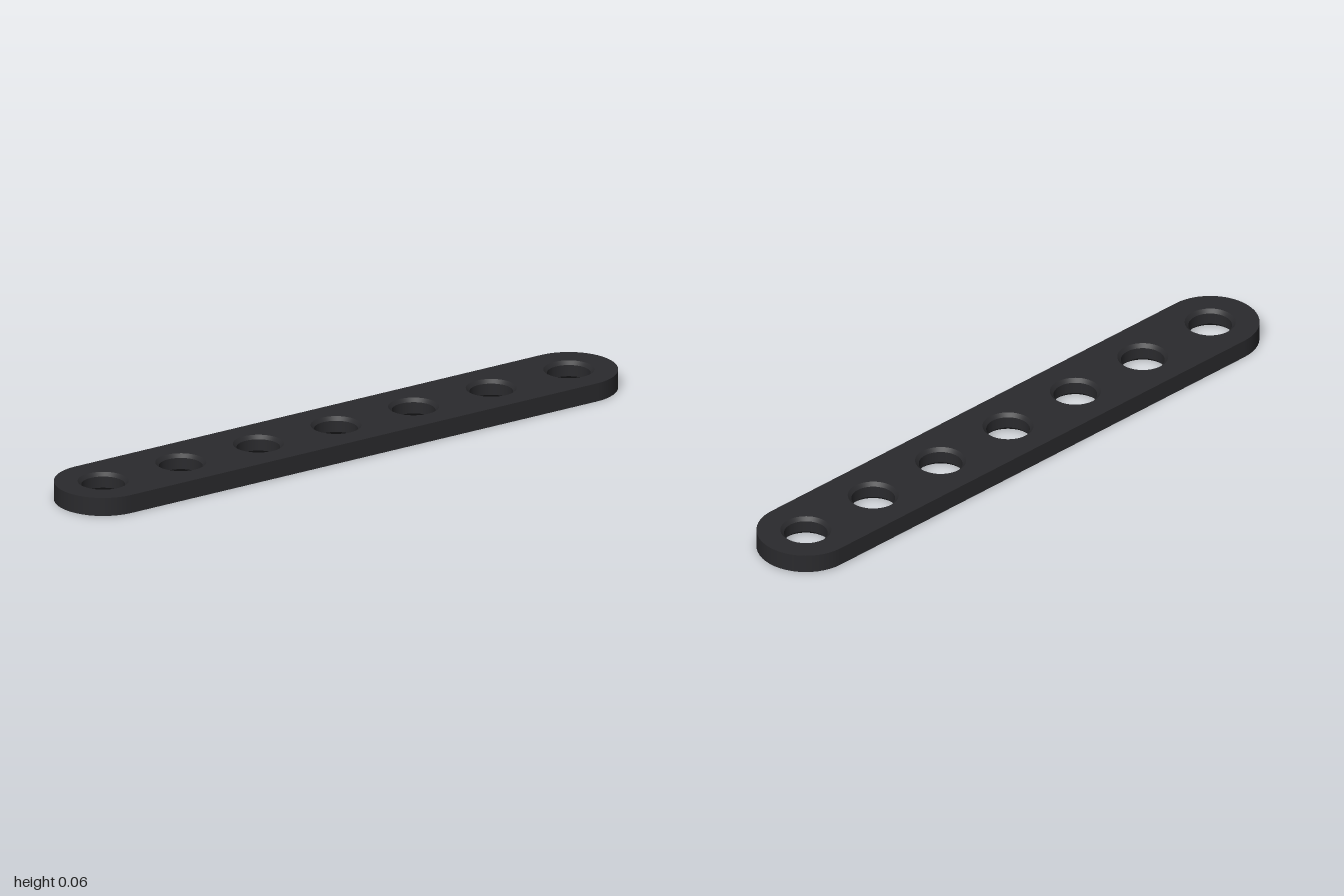
import * as THREE from 'three';

const HEIGHT = 0.058;
const RADIUS = 0.149;          // half width and end rounding
const END = 1 - RADIUS;        // centre of the end holes
const HOLES = 7;
const BORE = 0.066;            // narrow part of a hole
const MOUTH = 0.077;           // widened hole edge
const LIP = 0.011;             // depth of the widened edge
const SEGMENTS = 48;

// Flat stadium outline pierced by the row of holes
function plateShape(centres) {
  const shape = new THREE.Shape();
  shape.absarc(END, 0, RADIUS, -Math.PI / 2, Math.PI / 2, false);
  shape.absarc(-END, 0, RADIUS, Math.PI / 2, Math.PI * 1.5, false);
  shape.closePath();
  for (const x of centres) {
    const hole = new THREE.Path();
    hole.absarc(x, 0, MOUTH, 0, Math.PI * 2, true);
    shape.holes.push(hole);
  }
  return shape;
}

// Outer wall with smooth normals around both rounded ends
function rimGeometry() {
  const pos = [], norm = [], index = [];
  const half = SEGMENTS / 2;
  for (const side of [1, -1]) {
    for (let i = 0; i <= half; i++) {
      const a = -Math.PI / 2 + (Math.PI * i) / half;
      const nx = side * Math.cos(a), nz = -side * Math.sin(a);
      for (const y of [0, HEIGHT]) {
        pos.push(side * END + RADIUS * nx, y, RADIUS * nz);
        norm.push(nx, 0, nz);
      }
    }
  }
  const count = pos.length / 6;
  for (let i = 0; i < count; i++) {
    const a = i * 2, b = ((i + 1) % count) * 2;
    index.push(a, b, b + 1, a, b + 1, a + 1);
  }
  const geo = new THREE.BufferGeometry();
  geo.setAttribute('position', new THREE.Float32BufferAttribute(pos, 3));
  geo.setAttribute('normal', new THREE.Float32BufferAttribute(norm, 3));
  geo.setIndex(index);
  return geo;
}

export function createModel() {
  const group = new THREE.Group();
  group.name = 'perforatedBeam';
  const material = new THREE.MeshStandardMaterial({ color: 0x2a2a2d });
  const add = (name, geometry, parent = group) => {
    const mesh = new THREE.Mesh(geometry, material);
    mesh.name = name;
    parent.add(mesh);
    return mesh;
  };

  const centres = Array.from({ length: HOLES }, (_, i) => -END + (2 * END * i) / (HOLES - 1));

  // Top and bottom faces
  const shape = plateShape(centres);
  const top = new THREE.ShapeGeometry(shape, SEGMENTS / 2).rotateX(-Math.PI / 2);
  const bottom = new THREE.ShapeGeometry(shape, SEGMENTS / 2).rotateX(Math.PI / 2);
  add('topFace', top.translate(0, HEIGHT, 0));
  add('bottomFace', bottom);
  add('outerRim', rimGeometry());

  // Hole linings: profile runs downward so the faces look inward
  const profile = [[MOUTH, HEIGHT], [BORE, HEIGHT - LIP], [BORE, LIP], [MOUTH, 0]]
    .map(([r, y]) => new THREE.Vector2(r, y));
  const names = ['upperLip', 'bore', 'lowerLip'];
  const linings = names.map((_, i) => new THREE.LatheGeometry(profile.slice(i, i + 2), SEGMENTS));
  for (const x of centres) {
    const hole = new THREE.Group();
    hole.name = 'hole';
    hole.position.x = x;
    names.forEach((name, i) => add(name, linings[i], hole));
    group.add(hole);
  }
  return group;
}
